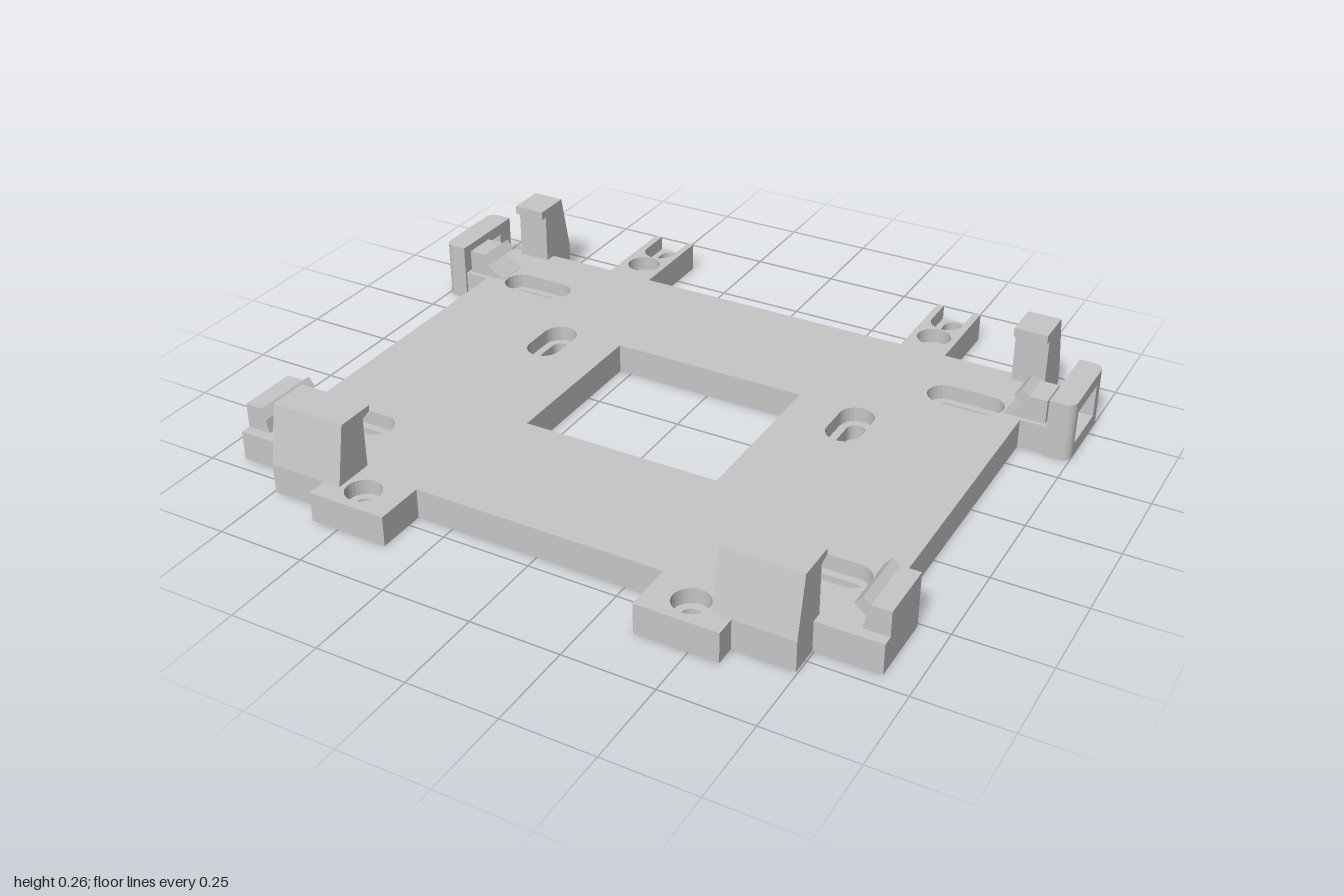
import * as THREE from 'three';

const plastic = new THREE.MeshStandardMaterial({ color: 0xc6c6c6 });
plastic.name = 'grey plastic';

const THICK = 0.085, LEDGE = 0.042;

function part(name, geometry, parent) {
  const mesh = new THREE.Mesh(geometry, plastic);
  mesh.name = name;
  parent.add(mesh);
  return mesh;
}

const toVec = (pts) => pts.map(([x, y]) => new THREE.Vector2(x, y));
const extrude = (shape, depth) =>
  new THREE.ExtrudeGeometry(shape, { depth, bevelEnabled: false, curveSegments: 12 });

// Plan outline [x, z] raised from y0 to y1
function slab(pts, y0, y1, holes = []) {
  const shape = new THREE.Shape(toVec(pts.map(([x, z]) => [x, -z])));
  for (const h of holes) shape.holes.push(new THREE.Path(toVec(h.map(([x, z]) => [x, -z]))));
  return extrude(shape, y1 - y0).rotateX(-Math.PI / 2).translate(0, y0, 0);
}

// Side profile [z, y] swept from x0 to x1
function sweepX(pts, x0, x1) {
  const shape = new THREE.Shape(toVec(pts.map(([z, y]) => [-z, y])));
  return extrude(shape, x1 - x0).rotateY(Math.PI / 2).translate(x0, 0, 0);
}

// Front profile [x, y] swept from z0 to z1
const sweepZ = (pts, z0, z1) => extrude(new THREE.Shape(toVec(pts)), z1 - z0).translate(0, 0, z0);

function arc(cx, cz, r, a0, a1, n = 12) {
  return Array.from({ length: n + 1 }, (_, i) => {
    const a = a0 + ((a1 - a0) * i) / n;
    return [cx + r * Math.cos(a), cz + r * Math.sin(a)];
  });
}

// Slot outline; dx, dz reach from its centre to the centres of its round ends
function slot(cx, cz, dx, dz, r) {
  const a = Math.atan2(dz, dx), q = Math.PI / 2;
  return [
    ...arc(cx + dx, cz + dz, r, a - q, a + q),
    ...arc(cx - dx, cz - dz, r, a + q, a + 3 * q),
  ];
}
const circle = (cx, cz, r) => arc(cx, cz, r, 0, Math.PI * 2, 28).slice(0, -1);

// Base outline, anticlockwise from above so that the hole walls face inward
function plateOutline(notched) {
  const notch = notched
    ? [[0.435, -0.852], ...arc(0.482, -0.757, 0.047, Math.PI, 0), [0.529, -0.852]]
    : [];
  const half = [
    [0.415, -0.57], [0.415, -0.852], ...notch, [0.55, -0.852], [0.55, -0.57],
    [0.855, -0.57], [0.855, 0.455], [0.92, 0.51], [0.92, 0.71],
    [0.58, 0.71], [0.58, 0.852], [0.355, 0.852], [0.355, 0.71],
  ];
  return [...half.map(([x, z]) => [-x, z]), ...half.reverse()];
}

function plateHoles(upper) {
  const r = upper ? 0.049 : 0.027;
  const holes = [[[-0.285, -0.175], [0.285, -0.175], [0.285, 0.31], [-0.285, 0.31]]];
  for (const s of [1, -1]) {
    holes.push(
      slot(s * 0.69, -0.37, 0.06, 0, r),
      slot(s * 0.69, 0.51, 0.06, 0, r),
      slot(s * 0.468, -0.102, 0, 0.042, r),
      circle(s * 0.482, -0.657, r),
      circle(s * 0.468, 0.778, r),
    );
    if (!upper) holes.push(slot(s * 0.482, -0.79, 0, 0.025, 0.028));
  }
  return holes;
}

export function createModel() {
  const model = new THREE.Group();
  model.name = 'mountingFrame';

  // Base plate: small holes below, wider screw recesses above
  part('basePlateLower', slab(plateOutline(false), 0, LEDGE, plateHoles(false)), model);
  part('basePlateUpper', slab(plateOutline(true), LEDGE, THICK, plateHoles(true)), model);

  // Hooks with sloped outer faces and inward lips
  const frontHook = [
    [0.68, 0], [0.795, 0], [0.795, 0.085], [0.763, 0.25], [0.652, 0.25],
    [0.652, 0.234], [0.681, 0.224],
  ];
  const backHook = [
    [-0.535, 0], [-0.665, 0], [-0.665, 0.085], [-0.626, 0.256], [-0.515, 0.256],
    [-0.515, 0.23], [-0.535, 0.23],
  ];
  // Small snap clips, seen from the front; the back one has a sloped foot
  const clipTop = [
    [0.92, 0.04], [0.92, 0.155], [0.868, 0.155], [0.848, 0.171], [0.828, 0.148], [0.86, 0.12],
  ];
  const frontClip = [[0.85, 0.04], ...clipTop, [0.85, 0.085]];
  const backClip = [[0.805, 0.04], ...clipTop, [0.805, 0.086]];

  for (const s of [1, -1]) {
    const side = new THREE.Group();
    side.name = s > 0 ? 'leftClamps' : 'rightClamps';
    model.add(side);
    const flip = (pts) => pts.map(([x, y]) => [s * x, y]);
    const span = (a, b) => (s > 0 ? [a, b] : [-b, -a]);

    part('frontHook', sweepX(frontHook, ...span(0.53, 0.745)), side);
    part('backHook', sweepX(backHook, ...span(0.76, 0.855)), side);
    part('frontClip', sweepZ(flip(frontClip), 0.51, 0.68), side);
    part('backClip', sweepZ(flip(backClip), -0.45, -0.355), side);

    // Ledge joining the side bracket to the plate, scalloped at the back
    part('bracketLedge', slab(flip([
      [0.84, -0.553], ...arc(0.905, -0.565, 0.023, Math.PI * 5 / 6, -Math.PI / 6),
      [0.94, -0.577], [0.94, -0.342], [0.84, -0.342],
    ]), 0, THICK), side);

    // Side bracket: a rounded upright frame around a window
    const q = Math.PI / 2;
    const backEnd = [[0.93, -0.585], ...arc(0.972, -0.557, 0.028, -q, 0, 6)];
    const frontEnd = [...arc(0.972, -0.363, 0.028, 0, q, 6), [0.93, -0.335]];
    const rail = [...backEnd, ...frontEnd];
    part('bracketSill', slab(flip(rail), 0, 0.04), side);
    part('bracketTopRail', slab(flip(rail), 0.135, 0.17), side);
    part('bracketBackPost', slab(flip([...backEnd, [1, -0.53], [0.93, -0.53]]), 0.04, 0.135), side);
    part('bracketFrontPost', slab(flip([[0.93, -0.372], [1, -0.372], ...frontEnd]), 0.04, 0.135), side);
  }
  return model;
}
